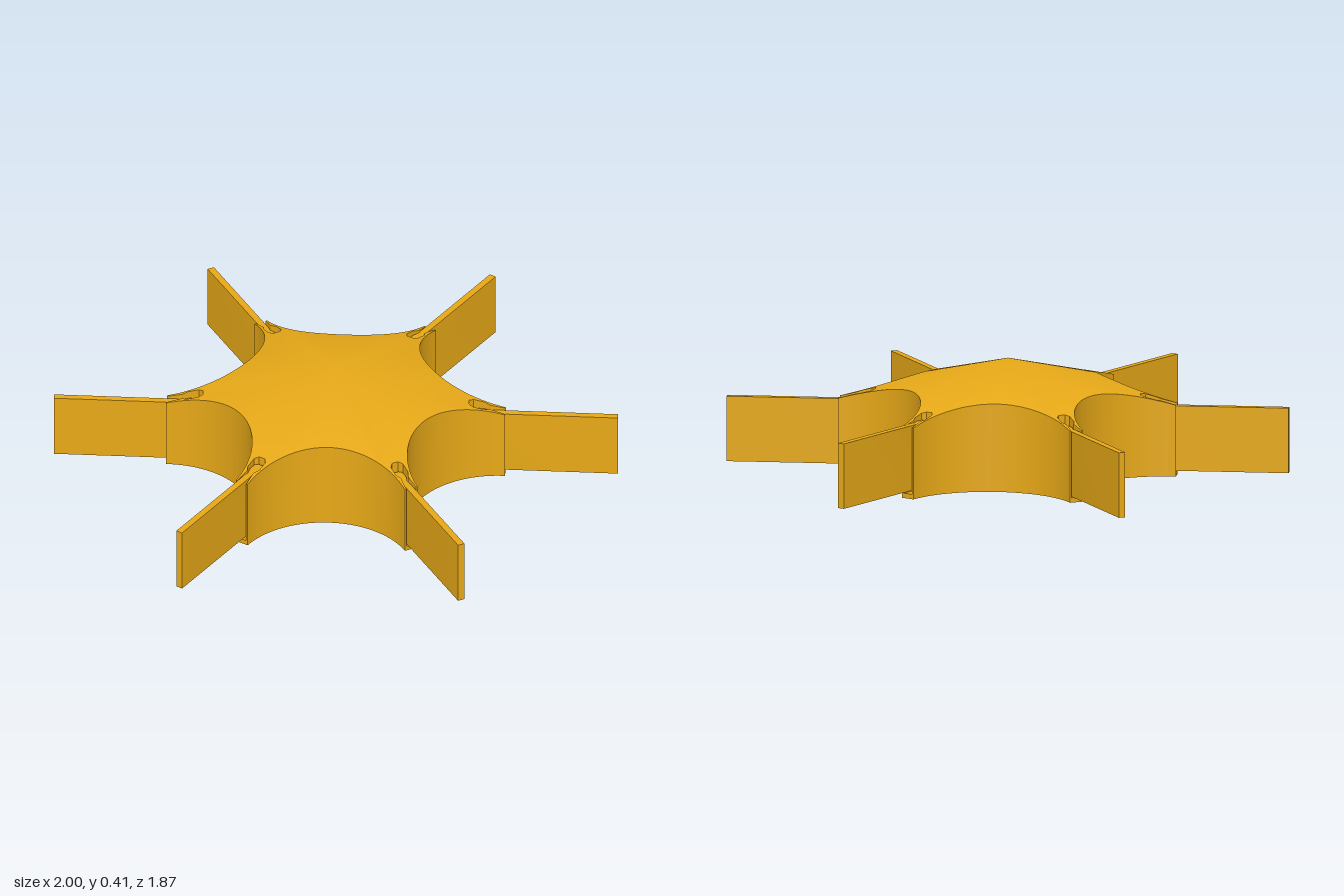
import * as THREE from 'three';
import { toCreasedNormals } from 'three/addons/utils/BufferGeometryUtils.js';

const RAD = Math.PI / 180;
const ARMS = 6, TWIST = 7.3 * RAD;
const SCOOP_R = 0.32, SCOOP_D = 0.69;        // scoop radius and distance of its axis
const TIP = 0.605, FLOOR = 0.0175, CUT = 25, STEP = 2.5;
const APEX = 0.414, SLOPE = 0.256;           // conical roof

const V = (x, y) => new THREE.Vector2(x, y);
const roof = (p) => APEX - SLOPE * p.length();
const mirror = (pts) => pts.map((p) => V(p.x, -p.y)).reverse();
const turn = (pts, k) => pts.map((p) => p.clone().rotateAround(V(0, 0), TWIST + k * Math.PI / 3));

// Plan shape (x, -z) extruded upwards from y
function slab(shape, y, height) {
  const g = new THREE.ExtrudeGeometry(shape, { depth: height, bevelEnabled: false });
  g.rotateX(-Math.PI / 2).translate(0, y, 0);
  return toCreasedNormals(g, 0.5);
}

// One flank of an arm, from the tip inwards along the scoop
function flankPoints() {
  const pts = [V(TIP, 0.025)];
  for (let d = 0; d <= CUT; d += STEP) {
    pts.push(V(SCOOP_D * Math.cos(30 * RAD) - SCOOP_R * Math.sin(d * RAD),
      SCOOP_D * 0.5 - SCOOP_R * Math.cos(d * RAD)));
  }
  return pts;
}

// The rest of the scoop between one arm and the next
function scoopPoints() {
  const pts = [];
  for (let t = 240 - CUT - STEP; t > 120 + CUT; t -= STEP) {
    pts.push(V(SCOOP_D + SCOOP_R * Math.cos(t * RAD), SCOOP_R * Math.sin(t * RAD))
      .rotateAround(V(0, 0), 30 * RAD));
  }
  return pts;
}

// Hub walls and conical roof, with a keyhole slot in every arm
function hubGeometry(flank, scoop) {
  const pos = [];
  const put = (p, y) => pos.push(p.x, y, -p.y);
  const tri = (a, b, c) => [a, b, c].forEach((p) => put(p, roof(p)));
  const slot = [V(TIP, 0.019), V(0.55, 0.0135), V(0.53, 0.024), V(0.49, 0.024), V(0.475, 0.012)];
  const arm = [...mirror(flank), ...mirror(slot).reverse(), ...slot.slice().reverse(), ...flank];
  const outline = [], core = [];
  for (let k = 0; k < ARMS; k++) {
    const a = turn(arm, k), s = turn(scoop, k);
    outline.push(...a, ...s);
    core.push(a[0], a[a.length - 1], ...s);
    // roof of the arm around its slot
    THREE.ShapeUtils.triangulateShape(a, []).forEach(([i, j, l]) => tri(a[i], a[j], a[l]));
  }
  // roof of the core, fanned from the apex
  core.forEach((p, i) => tri(V(0, 0), p, core[(i + 1) % core.length]));
  // upright walls
  outline.forEach((a, i) => {
    const b = outline[(i + 1) % outline.length];
    put(a, FLOOR); put(b, FLOOR); put(b, roof(b));
    put(a, FLOOR); put(b, roof(b)); put(a, roof(a));
  });
  const g = new THREE.BufferGeometry();
  g.setAttribute('position', new THREE.Float32BufferAttribute(pos, 3));
  return toCreasedNormals(g, 0.5);
}

export function createModel() {
  const model = new THREE.Group();
  const mat = new THREE.MeshStandardMaterial({ color: 0xe6a817 });
  const inner = mat.clone();
  inner.side = THREE.DoubleSide;
  const add = (name, geo, m = mat) => {
    const mesh = new THREE.Mesh(geo, m);
    mesh.name = name;
    model.add(mesh);
    return mesh;
  };

  const flank = flankPoints(), scoop = scoopPoints();
  add('hub', hubGeometry(flank, scoop), inner);

  // Base plate closing the slots from below, with the axle hole
  const plan = [];
  for (let k = 0; k < ARMS; k++) plan.push(...turn([...mirror(flank), ...flank, ...scoop], k));
  const base = new THREE.Shape(plan);
  base.holes.push(new THREE.Path().absarc(0, 0, 0.022, 0, Math.PI * 2, true));
  add('basePlate', slab(base, 0, FLOOR));

  // Blind axle hole
  add('axleHole', new THREE.CylinderGeometry(0.022, 0.022, 0.18, 24, 1, true).translate(0, 0.1, 0), inner);
  add('axleHoleEnd', new THREE.CircleGeometry(0.022, 24).rotateX(Math.PI / 2).translate(0, 0.19, 0), inner);

  // Blades with a keyed root; the two side blades sit slightly higher
  const half = [V(1.007, 0.0125), V(0.57, 0.0125), V(0.55, 0.0105), V(0.525, 0.02), V(0.492, 0.02), V(0.482, 0.01)];
  const blade = slab(new THREE.Shape([...half, ...mirror(half)]), FLOOR, 0.236);
  for (let k = 0; k < ARMS; k++) {
    const b = add('blade' + (k + 1), blade);
    b.rotation.y = TWIST + k * Math.PI / 3;
    b.position.y = k % 3 === 0 ? 0.012 : 0.001;
  }
  return model;
}
